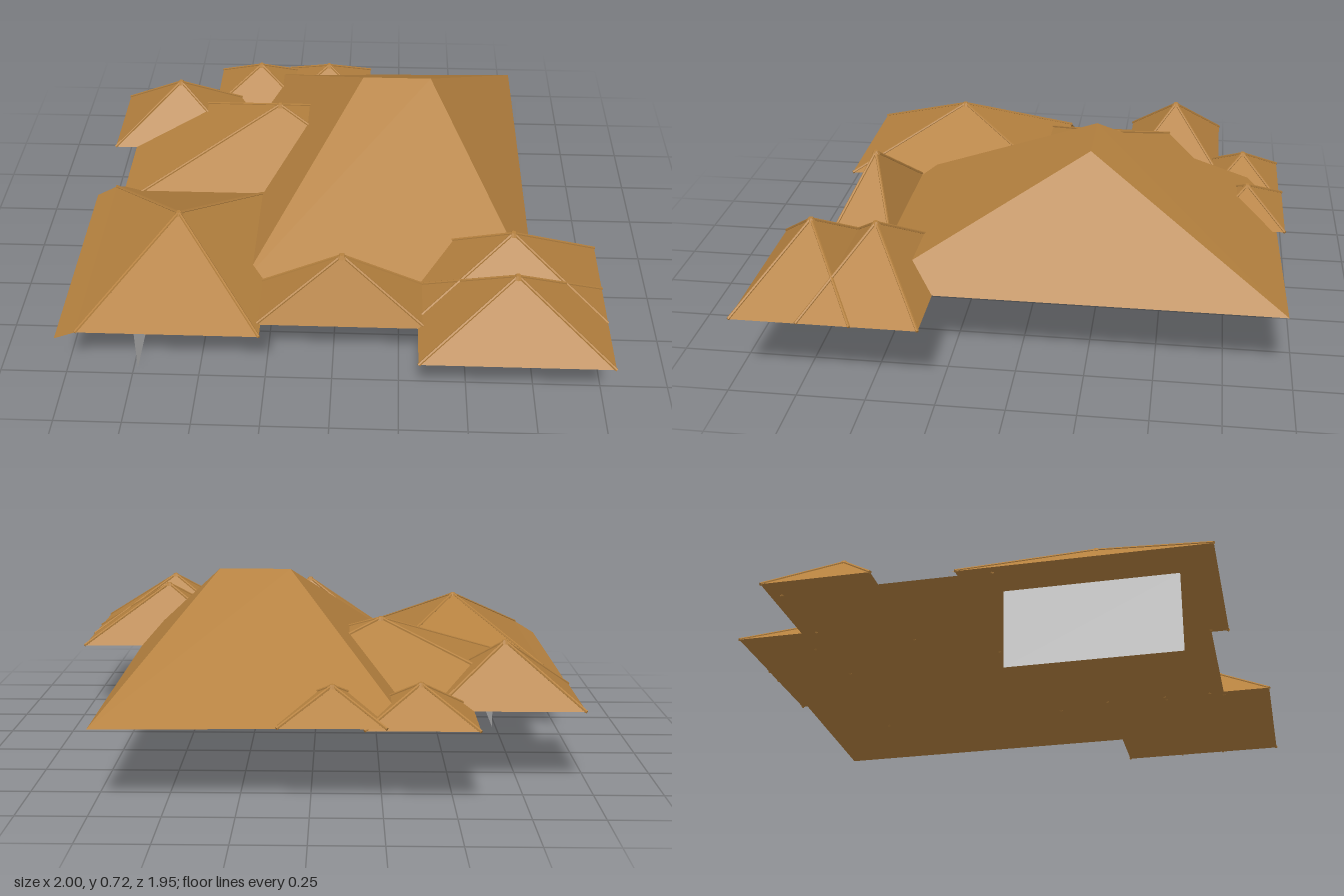
import * as THREE from 'three';

const EAVE = 0.295;
const roofMat = new THREE.MeshStandardMaterial({ color: 0xb5813f, flatShading: true, side: THREE.DoubleSide });
const wallMat = new THREE.MeshStandardMaterial({ color: 0xcccccc, side: THREE.DoubleSide });

// Flat-shaded geometry from quads and triangles of points
function faceted(faces) {
  const pos = [];
  for (const f of faces) {
    for (let i = 1; i < f.length - 1; i++) pos.push(...f[0], ...f[i], ...f[i + 1]);
  }
  const g = new THREE.BufferGeometry();
  g.setAttribute('position', new THREE.Float32BufferAttribute(pos, 3));
  g.computeVertexNormals();
  return g;
}

// Closed hipped roof: eave corners in order BL, BR, FR, FL and ridge ends L, R
function hipGeometry([bl, br, fr, fl], l, r) {
  return faceted([[fl, fr, r, l], [fr, br, r], [br, bl, l, r], [bl, fl, l], [bl, br, fr, fl]]);
}

// Thin rounded cap running along one hip
function hipCap(from, to) {
  const a = new THREE.Vector3(...from), b = new THREE.Vector3(...to);
  const dir = b.clone().sub(a);
  const cap = new THREE.Mesh(new THREE.CylinderGeometry(0.006, 0.006, dir.length(), 6), roofMat);
  cap.position.copy(a).add(b).multiplyScalar(0.5);
  cap.quaternion.setFromUnitVectors(new THREE.Vector3(0, 1, 0), dir.normalize());
  cap.name = 'hipCap';
  return cap;
}

// Four-sided pyramid roof with capped hips and a small peak cap
function pyramidRoof({ name, x, z, hx, hz, top, base = EAVE }) {
  const g = new THREE.Group();
  g.name = name;
  const apex = [x, top, z];
  const corners = [[-1, -1], [1, -1], [1, 1], [-1, 1]].map(([sx, sz]) => [x + sx * hx, base, z + sz * hz]);
  const shell = new THREE.Mesh(hipGeometry(corners, apex, apex), roofMat);
  shell.name = 'roofShell';
  g.add(shell);
  for (const c of corners) g.add(hipCap(c, apex));
  const peak = new THREE.Mesh(new THREE.CylinderGeometry(0.009, 0.018, 0.014, 8), roofMat);
  peak.position.set(x, top - 0.002, z);
  peak.name = 'peakCap';
  g.add(peak);
  return g;
}

export function createModel() {
  const model = new THREE.Group();
  model.name = 'houseRoofs';

  // Large hipped roof with a short ridge
  const main = new THREE.Mesh(hipGeometry(
    [[-0.34, EAVE, -0.93], [0.75, EAVE, -0.965], [0.75, EAVE, 0.56], [-0.34, EAVE, 0.55]],
    [0.09, 0.72, -0.23], [0.36, 0.72, -0.23]), roofMat);
  main.name = 'mainRoof';
  model.add(main);

  // Smaller intersecting roofs
  const roofs = [
    { name: 'sideRoof', x: -0.255, z: -0.29, hx: 0.625, hz: 0.385, top: 0.543 },
    { name: 'frontRightRoof', x: -0.585, z: 0.41, hx: 0.33, hz: 0.44, top: 0.507 },
    { name: 'backRightRoof', x: -0.70, z: -0.515, hx: 0.27, hz: 0.2, top: 0.505 },
    { name: 'backCornerRoof', x: -0.38, z: -0.81, hx: 0.195, hz: 0.155, top: 0.42 },
    { name: 'backDormer', x: -0.075, z: -0.825, hx: 0.185, hz: 0.15, top: 0.415, base: 0.305 },
    { name: 'frontDormer', x: 0.035, z: 0.665, hx: 0.31, hz: 0.12, top: 0.528 },
    { name: 'frontLeftInnerRoof', x: 0.655, z: 0.515, hx: 0.343, hz: 0.215, top: 0.528 },
    { name: 'frontLeftOuterRoof', x: 0.655, z: 0.755, hx: 0.343, hz: 0.215, top: 0.528 },
  ];
  for (const r of roofs) model.add(pyramidRoof(r));

  // Overhang continuing the slope below the eave
  const overhang = new THREE.Mesh(faceted([[
    [-0.915, EAVE, -0.03], [-1, 0.245, -0.035], [-1, 0.245, 0.83], [-0.915, EAVE, 0.85],
  ]]), roofMat);
  overhang.name = 'eaveOverhang';
  model.add(overhang);

  // Single thin wall standing under the overhanging roof
  const wall = new THREE.Mesh(new THREE.PlaneGeometry(0.62, EAVE), wallMat);
  wall.rotation.y = -Math.PI / 2;
  wall.position.set(-0.735, EAVE / 2, 0.41);
  wall.name = 'wallPanel';
  model.add(wall);

  return model;
}
